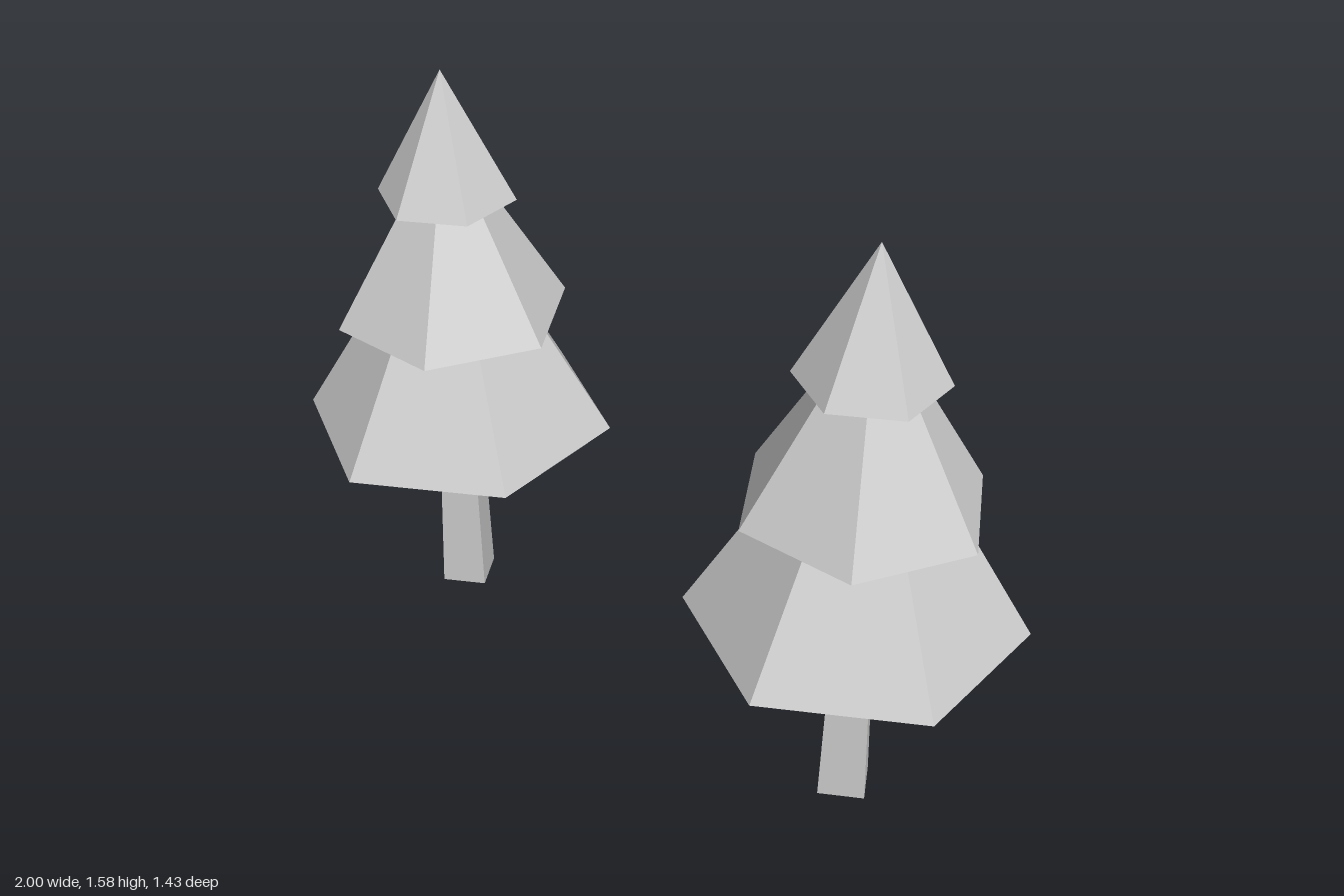
import * as THREE from 'three';

const material = new THREE.MeshStandardMaterial({ color: 0xcccccc, flatShading: true });
const foliageMaterial = new THREE.MeshStandardMaterial({
  color: 0xcccccc, flatShading: true, side: THREE.DoubleSide,
});

// Hollow six-sided cones: rim radius, rim height, apex height, turn
const TIERS = [
  { name: 'lowerFoliage', radius: 0.423, base: 0.545, apex: 1.26, turn: Math.PI / 6 },
  { name: 'middleFoliage', radius: 0.315, base: 0.885, apex: 1.42, turn: 0 },
  { name: 'upperFoliage', radius: 0.185, base: 1.23, apex: 1.58, turn: Math.PI / 6 },
];

function createTree(name) {
  const tree = new THREE.Group();
  tree.name = name;

  // Square tapered trunk, reaching up into the foliage
  const height = 0.9;
  const trunkGeometry = new THREE.CylinderGeometry(
    0.038 * Math.SQRT2, 0.06 * Math.SQRT2, height, 4);
  trunkGeometry.rotateY(Math.PI / 4);
  trunkGeometry.translate(0, height / 2, 0);
  const trunk = new THREE.Mesh(trunkGeometry, material);
  trunk.name = 'trunk';
  tree.add(trunk);

  // Stacked foliage, open underneath
  for (const { name: tierName, radius, base, apex, turn } of TIERS) {
    const geometry = new THREE.ConeGeometry(radius, apex - base, 6, 1, true);
    geometry.rotateY(turn);
    geometry.translate(0, (base + apex) / 2, 0);
    const foliage = new THREE.Mesh(geometry, foliageMaterial);
    foliage.name = tierName;
    tree.add(foliage);
  }
  return tree;
}

export function createModel() {
  const model = new THREE.Group();
  model.name = 'pineTrees';

  // Two identical trees set on a diagonal
  for (const [name, side] of [['leftTree', 1], ['rightTree', -1]]) {
    const tree = createTree(name);
    tree.position.set(0.577 * side, 0, 0.348 * side);
    model.add(tree);
  }
  return model;
}
